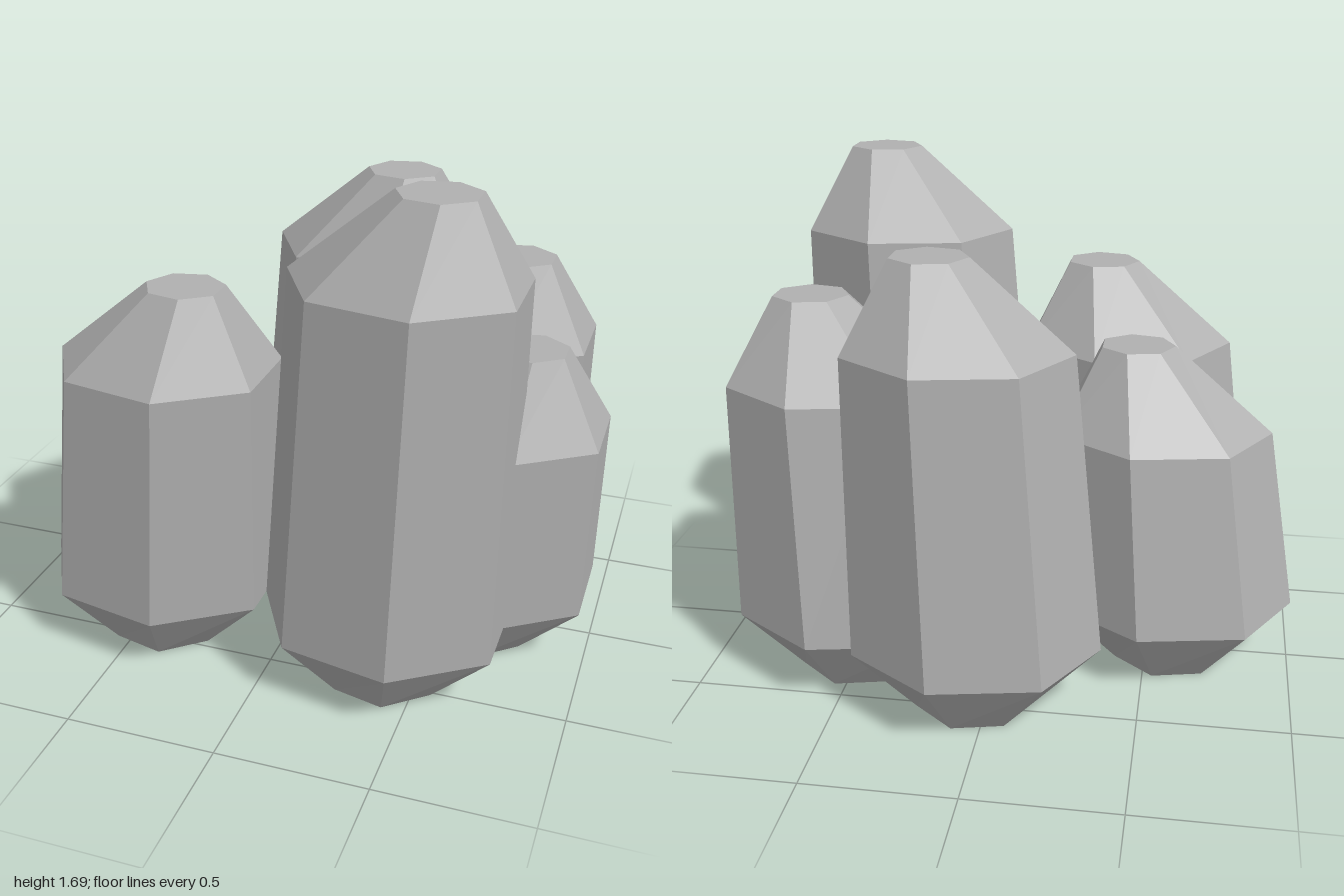
import * as THREE from 'three';

// Cross-sections from foot to tip: x/z radii and sideways lean
const RINGS = [
  { rx: 0.2, rz: 0.21, dx: 0, dz: 0 },
  { rx: 0.422, rz: 0.364, dx: 0, dz: 0 },
  { rx: 0.377, rz: 0.322, dx: 0.057, dz: 0.045 },
  { rx: 0.129, rz: 0.118, dx: 0.147, dz: 0.085 },
];

// Seven-sided column with a tapered foot and a leaning, blunt tip
function columnGeometry(shoulder, top) {
  const heights = [0, 0.215, shoulder, top];
  const geometry = new THREE.CylinderGeometry(1, 1, 1, 7, 3).rotateY(-Math.PI / 2);
  const p = geometry.attributes.position;
  for (let i = 0; i < p.count; i++) {
    const level = Math.round((p.getY(i) + 0.5) * 3);
    const { rx, rz, dx, dz } = RINGS[level];
    p.setXYZ(i, p.getX(i) * rx + dx, heights[level], p.getZ(i) * rz + dz);
  }
  // Separate faces for faceted shading
  const faceted = geometry.toNonIndexed();
  faceted.computeVertexNormals();
  return faceted;
}

export function createModel() {
  const group = new THREE.Group();
  group.name = 'rockColumns';
  const stone = new THREE.MeshStandardMaterial({ color: 0xb0b0b0 });
  stone.name = 'stoneGrey';

  // Name, centre x, centre z, shoulder height, top height
  const columns = [
    ['frontLeftColumn', 0.38, 0.42, 1.405, 1.69],
    ['backColumn', 0.05, -0.435, 1.213, 1.497],
    ['backLeftColumn', 0.495, -0.23, 1.023, 1.303],
    ['leftColumn', 0.6, 0.065, 0.83, 1.11],
    ['frontRightColumn', -0.423, 0.378, 1.023, 1.303],
    ['rightColumn', -0.578, -0.012, 0.83, 1.11],
  ];
  for (const [name, x, z, shoulder, top] of columns) {
    const column = new THREE.Mesh(columnGeometry(shoulder, top), stone);
    column.name = name;
    column.position.set(x, 0, z);
    group.add(column);
  }
  return group;
}
